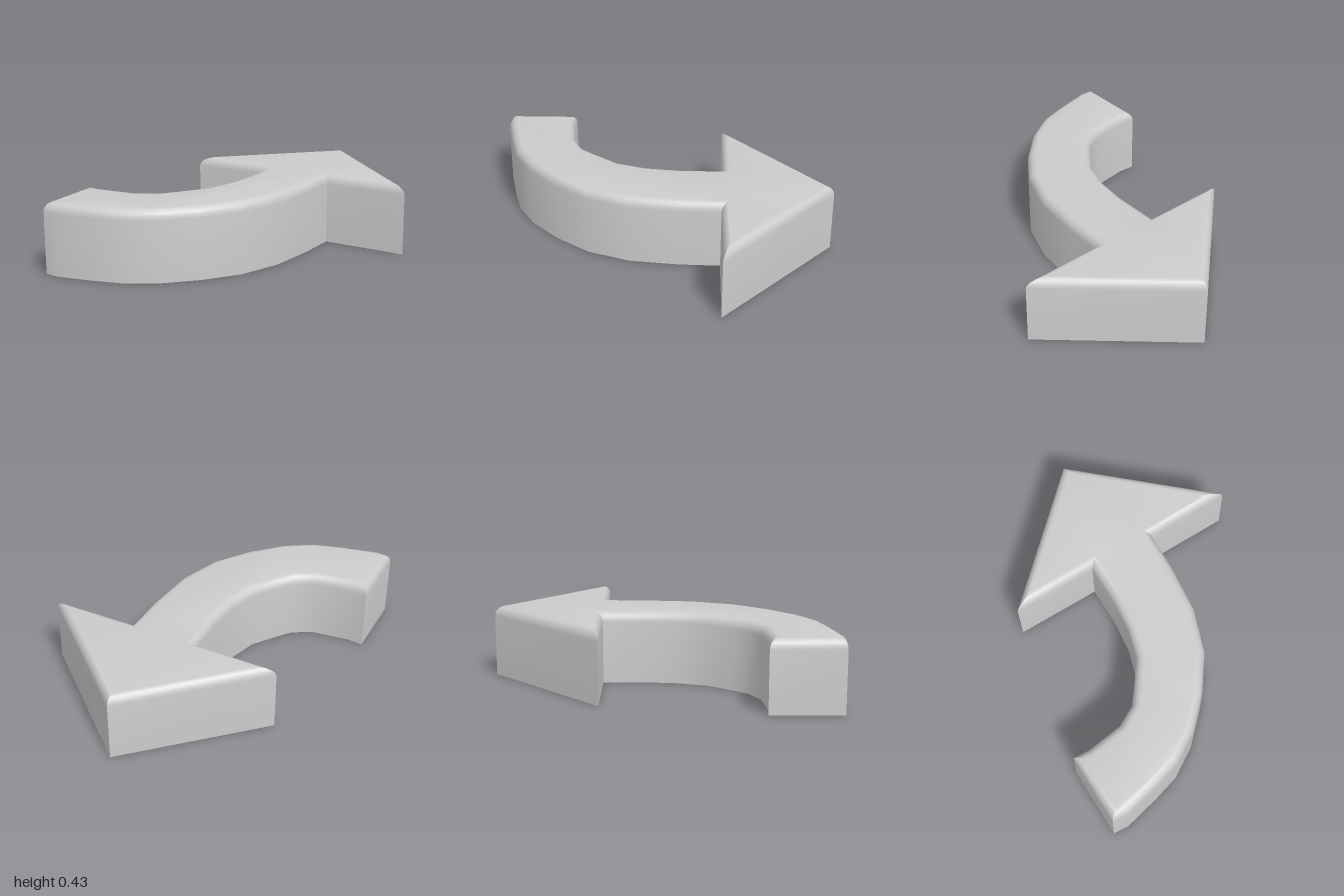
import * as THREE from 'three';
import { toCreasedNormals } from 'three/addons/utils/BufferGeometryUtils.js';

const HEIGHT = 0.425;
const INSET = 0.05; // how far the rounded top edge reaches inward
const DROP = 0.06; // how far it reaches down
const STEPS = 5;

// Plan outline as (x, z), counter-clockwise seen from above
const head = [[0.3, -0.335], [0.81, -0.33], [0.09, -1], [-0.62, -0.355], [-0.11, -0.345]];
const innerCurve = [
  [-0.115, -0.09], [-0.14, 0.1], [-0.195, 0.27], [-0.3, 0.41],
  [-0.37, 0.495], [-0.49, 0.555], [-0.71, 0.58], [-0.805, 0.57],
];
const outerCurve = [
  [-0.81, 0.99], [-0.72, 1], [-0.5, 0.955], [-0.33, 0.91], [-0.16, 0.81],
  [0.01, 0.65], [0.16, 0.45], [0.254, 0.2], [0.29, -0.09],
];

// Mitred inward direction at every outline corner
function inwardMitres(pts) {
  const n = pts.length;
  const normals = pts.map((p, i) => {
    const d = pts[(i + 1) % n].clone().sub(p).normalize();
    return new THREE.Vector2(-d.y, d.x);
  });
  return normals.map((b, i) => {
    const a = normals[(i + n - 1) % n];
    return a.clone().add(b).divideScalar(1 + a.dot(b));
  });
}

// Upright walls, rounded upper edge, flat top and bottom
function arrowGeometry() {
  const outline = [...head, ...innerCurve, ...outerCurve].map(([x, z]) => new THREE.Vector2(x, -z));
  const mitres = inwardMitres(outline);
  const n = outline.length;

  const levels = [{ y: 0, inset: 0 }];
  for (let s = 0; s <= STEPS; s++) {
    const a = (s / STEPS) * Math.PI / 2;
    levels.push({ y: HEIGHT - DROP * (1 - Math.sin(a)), inset: INSET * (1 - Math.cos(a)) });
  }

  const positions = [];
  const index = [];
  const rings = levels.map(({ y, inset }) => {
    const ring = outline.map((p, i) => p.clone().addScaledVector(mitres[i], inset));
    ring.forEach((p) => positions.push(p.x, y, -p.y));
    return ring;
  });

  for (let j = 0; j < rings.length - 1; j++) {
    for (let i = 0; i < n; i++) {
      const a = j * n + i;
      const b = j * n + (i + 1) % n;
      index.push(a, b, b + n, a, b + n, a + n);
    }
  }

  const topStart = (rings.length - 1) * n;
  for (const [a, b, c] of THREE.ShapeUtils.triangulateShape(rings[rings.length - 1], [])) {
    index.push(topStart + a, topStart + b, topStart + c);
  }
  for (const [a, b, c] of THREE.ShapeUtils.triangulateShape(rings[0], [])) {
    index.push(a, c, b);
  }

  const geometry = new THREE.BufferGeometry();
  geometry.setAttribute('position', new THREE.Float32BufferAttribute(positions, 3));
  geometry.setIndex(index);
  return toCreasedNormals(geometry, THREE.MathUtils.degToRad(35));
}

export function createModel() {
  const group = new THREE.Group();
  group.name = 'curvedArrow';
  const arrow = new THREE.Mesh(arrowGeometry(), new THREE.MeshStandardMaterial({ color: 0xcccccc }));
  arrow.name = 'arrowBody';
  group.add(arrow);
  return group;
}
